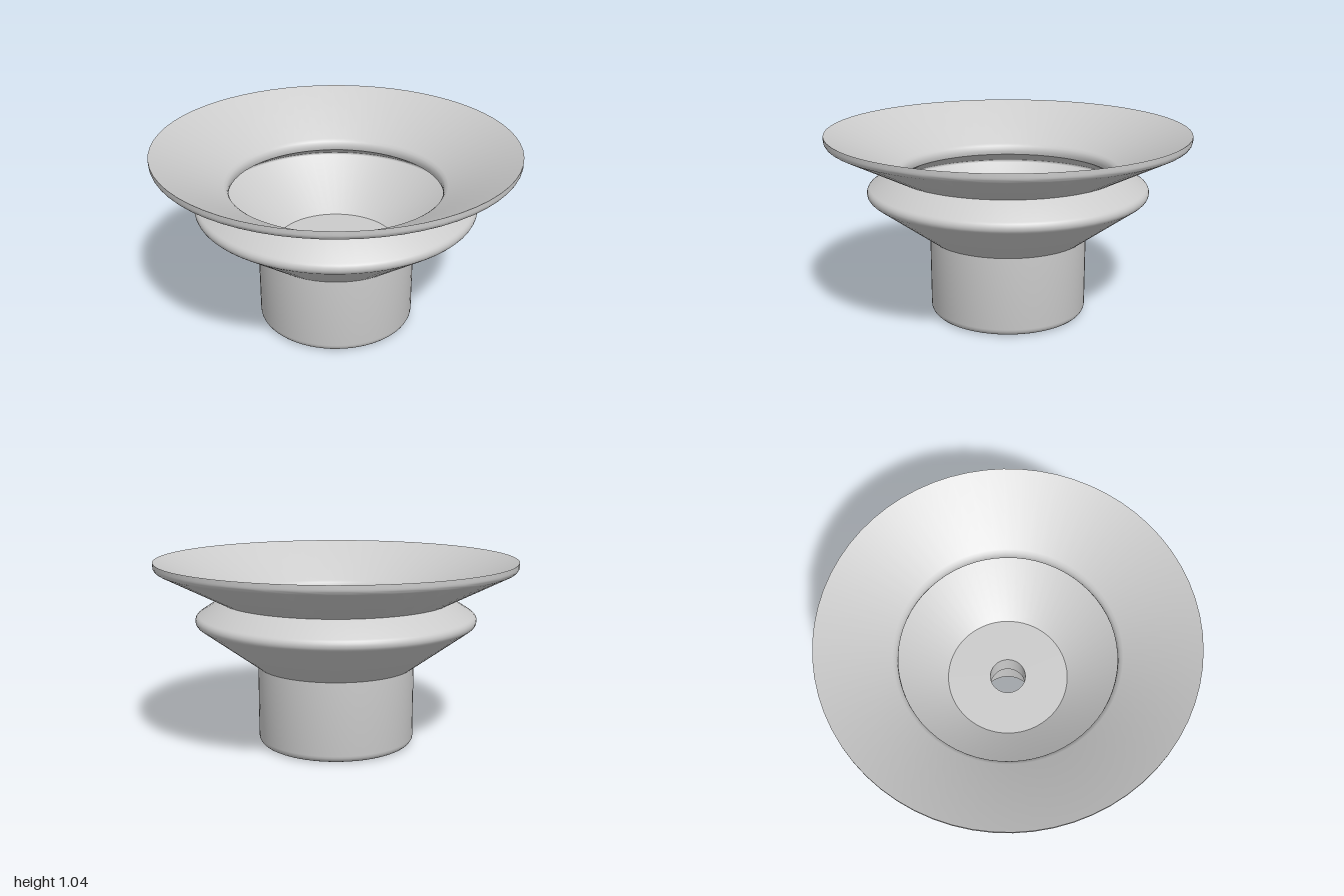
import * as THREE from 'three';
import { toCreasedNormals } from 'three/addons/utils/BufferGeometryUtils.js';

const material = new THREE.MeshStandardMaterial({ color: 0xcccccc, side: THREE.DoubleSide });

// Revolves a [radius, height] profile; outer walls run upwards, inner walls downwards
function revolve(name, profile, segments = 64) {
  const points = profile.map(([r, y]) => new THREE.Vector2(r, y));
  const geometry = toCreasedNormals(new THREE.LatheGeometry(points, segments), 0.5);
  const mesh = new THREE.Mesh(geometry, material);
  mesh.name = name;
  return mesh;
}

// Points on a rounded corner, angles in degrees
function arc(cx, cy, radius, from, to, steps = 5) {
  return Array.from({ length: steps + 1 }, (_, i) => {
    const a = THREE.MathUtils.degToRad(from + ((to - from) * i) / steps);
    return [cx + radius * Math.cos(a), cy + radius * Math.sin(a)];
  });
}

export function createModel() {
  const group = new THREE.Group();
  group.name = 'suctionCup';

  // Cylindrical fitting: cavity floor, stepped bore, bottom and outer wall
  group.add(revolve('fitting', [
    [0.34, 0.455], [0.1, 0.455], [0.1, 0.3], [0.16, 0.3], [0.16, 0],
    ...arc(0.4, 0.04, 0.04, -90, 0), [0.44, 0.445],
  ]));

  // Folded bellows with a rounded outer edge
  group.add(revolve('bellowsOuter', [
    [0.44, 0.445], ...arc(0.745, 0.713, 0.036, -54, 56, 6), [0.645, 0.82],
  ]));
  group.add(revolve('bellowsInner', [
    [0.594, 0.768], ...arc(0.68, 0.705, 0.01, 56, -54, 4), [0.34, 0.455],
  ]));

  // Flared sealing lip, from the neck out to the rim and back inside
  group.add(revolve('sealingLip', [
    [0.645, 0.82], ...arc(0.965, 1.022, 0.035, -62, 0), [1, 1.042],
    [0.615, 0.832], [0.6, 0.82], [0.592, 0.805], [0.59, 0.785], [0.594, 0.768],
  ]));

  return group;
}
